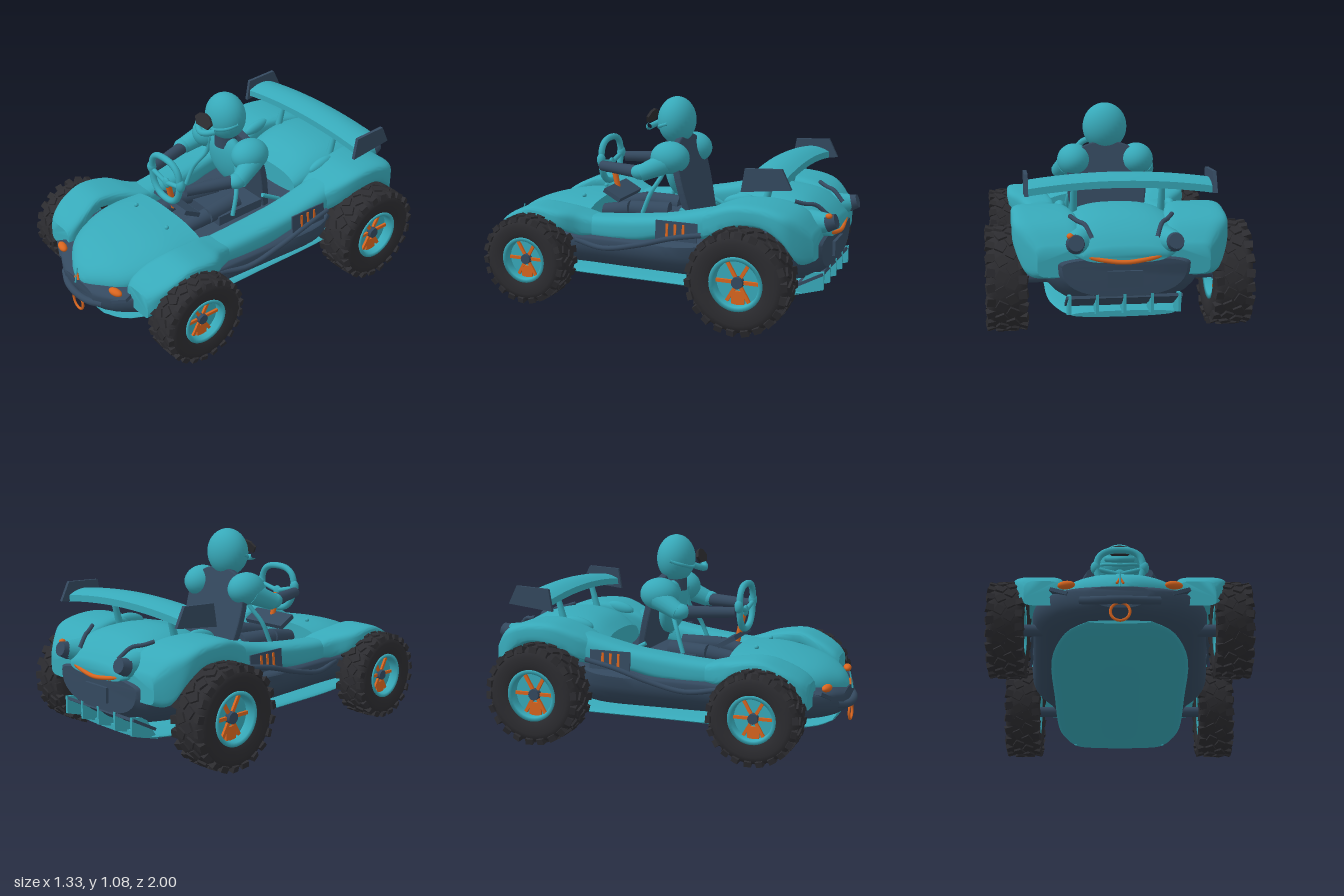
import * as THREE from 'three';
import { mergeGeometries, toCreasedNormals } from 'three/addons/utils/BufferGeometryUtils.js';

const material = (name, color) => Object.assign(new THREE.MeshStandardMaterial({ color }), { name });
const teal = material('teal paint', 0x37a9b9);
const navy = material('navy panel', 0x34495f);
const orange = material('orange accent', 0xd8651f);
const black = material('black rubber', 0x2c2c30);
const V = (x, y, z) => new THREE.Vector3(x, y, z);
const SIDES = [['left', 1], ['right', -1]];

export function createModel() {
  const car = new THREE.Group();
  car.name = 'buggy';

  const add = (name, geometry, mat, pos = [0, 0, 0], rot = [0, 0, 0], parent = car) => {
    const m = new THREE.Mesh(geometry, mat);
    m.name = name;
    m.position.set(...pos);
    m.rotation.set(...rot);
    parent.add(m);
    return m;
  };
  const tube = (name, mat, r, ...pts) => add(name,
    new THREE.TubeGeometry(new THREE.CatmullRomCurve3(pts.map((p) => V(...p))), 24, r, 10), mat);
  const ball = (name, mat, pos, [rx, ry, rz], rot) =>
    add(name, new THREE.SphereGeometry(1, 28, 18), mat, pos, rot).scale.set(rx, ry, rz);
  const slab = (pts, depth) => new THREE.ExtrudeGeometry(
    new THREE.Shape(pts.map((p) => new THREE.Vector2(...p))), { depth, bevelEnabled: false });
  // tapered limb between two points
  const limb = (name, mat, a, b, r0, r1) => {
    const p = V(...a), q = V(...b), d = q.clone().sub(p);
    const m = add(name, new THREE.CylinderGeometry(r1, r0, d.length(), 16), mat, p.clone().add(q).multiplyScalar(0.5).toArray());
    m.quaternion.setFromUnitVectors(V(0, 1, 0), d.normalize());
  };

  // Body shell lofted along z; each row is [z, x0, x1, yLow, yMid, yTop]
  const shell = (name, mat, rows, e = 0.7, s = 1) => {
    const N = 36, SUB = 4, rings = [];
    const cr = (a, b, c, d, t) => b + 0.5 * t * (c - a + t * (2 * a - 5 * b + 4 * c - d + t * (3 * (b - c) + d - a)));
    const row = (i) => rows[Math.max(0, Math.min(rows.length - 1, i))];
    for (let i = 0; i < rows.length - 1; i++)
      for (let k = 0; k < SUB; k++)
        rings.push(row(i).map((v, c) => cr(row(i - 1)[c], v, row(i + 1)[c], row(i + 2)[c], k / SUB)));
    rings.push(row(rows.length - 1));
    const pos = [], idx = [];
    const pw = (v) => Math.sign(v) * Math.abs(v) ** e;
    for (const [z, x0, x1, lo, mid, hi] of rings)
      for (let j = 0; j < N; j++) {
        const a = (j / N) * Math.PI * 2, sy = pw(Math.sin(a));
        pos.push(s * ((x0 + x1) / 2 + ((x1 - x0) / 2) * pw(Math.cos(a))), mid + sy * (sy > 0 ? hi - mid : mid - lo), z);
      }
    const tri = (a, b, c) => (s > 0 ? idx.push(a, b, c) : idx.push(a, c, b));
    const last = rings.length - 1;
    for (let i = 0; i < last; i++)
      for (let j = 0; j < N; j++) {
        const a = i * N + j, b = i * N + ((j + 1) % N);
        tri(a, a + N, b);
        tri(b, a + N, b + N);
      }
    for (let j = 1; j < N - 1; j++) {
      tri(0, j, j + 1);
      tri(last * N, last * N + j + 1, last * N + j);
    }
    const g = new THREE.BufferGeometry();
    g.setAttribute('position', new THREE.Float32BufferAttribute(pos, 3));
    g.setIndex(idx);
    add(name, toCreasedNormals(g, 0.7), mat);
  };
  const sym = (rows) => rows.map(([z, w, ...y]) => [z, -w, w, ...y]);

  // Hull, bonnet, engine cover and undertray (front to back)
  shell('lowerHull', navy, sym([
    [0.955, 0.14, 0.2, 0.28, 0.31], [0.88, 0.29, 0.165, 0.31, 0.34], [0.7, 0.415, 0.145, 0.32, 0.37],
    [0.36, 0.45, 0.145, 0.35, 0.39], [0, 0.475, 0.145, 0.36, 0.4], [-0.3, 0.495, 0.145, 0.38, 0.41],
    [-0.45, 0.44, 0.145, 0.42, 0.45], [-0.7, 0.42, 0.16, 0.46, 0.49], [-0.86, 0.38, 0.19, 0.43, 0.47], [-0.94, 0.3, 0.25, 0.4, 0.44]]), 0.8);
  shell('bonnet', teal, sym([
    [0.95, 0.04, 0.29, 0.31, 0.335], [0.915, 0.12, 0.3, 0.32, 0.385], [0.83, 0.24, 0.31, 0.34, 0.44],
    [0.7, 0.31, 0.34, 0.37, 0.48], [0.55, 0.335, 0.36, 0.4, 0.505], [0.37, 0.33, 0.37, 0.41, 0.51]]), 0.85);
  shell('engineCover', teal, sym([
    [-0.35, 0.22, 0.42, 0.46, 0.54], [-0.45, 0.25, 0.44, 0.5, 0.61], [-0.6, 0.27, 0.46, 0.52, 0.64],
    [-0.78, 0.29, 0.46, 0.51, 0.62], [-0.89, 0.28, 0.43, 0.48, 0.56], [-0.955, 0.2, 0.42, 0.45, 0.49]]), 0.8);
  shell('undertray', teal, sym([
    [0.9, 0.15, 0.145, 0.155, 0.16], [0.8, 0.26, 0.12, 0.14, 0.155], [0.5, 0.34, 0.105, 0.13, 0.155], [0, 0.35, 0.105, 0.13, 0.155],
    [-0.5, 0.35, 0.105, 0.13, 0.155], [-0.75, 0.3, 0.11, 0.135, 0.155], [-0.87, 0.25, 0.13, 0.145, 0.16]]), 0.9);

  // Paired bodywork
  for (const [side, s] of SIDES) {
    shell(side + 'FrontFender', teal, [
      [0.835, 0.28, 0.46, 0.27, 0.31, 0.4], [0.8, 0.27, 0.49, 0.3, 0.36, 0.435], [0.72, 0.28, 0.52, 0.38, 0.43, 0.48],
      [0.6, 0.31, 0.53, 0.44, 0.48, 0.52], [0.45, 0.29, 0.525, 0.4, 0.45, 0.505],
      [0.36, 0.26, 0.46, 0.36, 0.41, 0.48], [0.29, 0.26, 0.43, 0.36, 0.4, 0.46]], 0.48, s);
    shell(side + 'SidePod', teal, [
      [0.38, 0.255, 0.42, 0.35, 0.4, 0.46], [0.2, 0.26, 0.44, 0.35, 0.4, 0.475], [0.02, 0.27, 0.455, 0.36, 0.42, 0.495],
      [-0.15, 0.28, 0.465, 0.4, 0.45, 0.52], [-0.42, 0.28, 0.475, 0.42, 0.48, 0.585]], 0.6, s);
    shell(side + 'RearFender', teal, [
      [-0.34, 0.28, 0.46, 0.42, 0.47, 0.55], [-0.42, 0.26, 0.5, 0.45, 0.51, 0.59], [-0.54, 0.25, 0.53, 0.51, 0.56, 0.63],
      [-0.68, 0.22, 0.53, 0.52, 0.56, 0.63], [-0.79, 0.2, 0.525, 0.45, 0.52, 0.605], [-0.86, 0.2, 0.48, 0.34, 0.45, 0.565],
      [-0.925, 0.2, 0.415, 0.35, 0.42, 0.49]], 0.4, s);
    ball(side + 'FenderRidge', teal, [s * 0.28, 0.6, -0.49], [0.03, 0.035, 0.085], [0.2, 0, 0]);
    tube(side + 'SidePipe', navy, 0.014, [s * 0.44, 0.34, 0.38], [s * 0.475, 0.32, 0.2], [s * 0.485, 0.36, 0], [s * 0.49, 0.42, -0.2], [s * 0.48, 0.45, -0.36]);
    add(side + 'SidePanel', new THREE.BoxGeometry(0.008, 0.1, 0.23), navy, [s * 0.477, 0.455, -0.22], [0, 0, s * 0.1]);
    for (const z of [-0.17, -0.215, -0.26])
      add(side + 'PanelStripe', new THREE.BoxGeometry(0.006, 0.07, 0.013), orange, [s * 0.483, 0.458, z], [0, 0, s * 0.1]);

    // Lamps, winglets, bonnet pins and tail pipes
    ball(side + 'Headlamp', orange, [s * 0.255, 0.35, 0.89], [0.043, 0.02, 0.022], [0, s * 0.2, 0]);
    add(side + 'NoseWinglet', new THREE.BoxGeometry(0.1, 0.018, 0.06), navy, [s * 0.28, 0.315, 0.87], [0, s * 0.4, s * 0.42]);
    ball(side + 'BonnetPin', teal, [s * 0.14, 0.51, 0.48], [0.012, 0.012, 0.012]);
    limb(side + 'TailPipe', teal, [s * 0.21, 0.5, -0.86], [s * 0.235, 0.52, -0.955], 0.072, 0.045);
    limb(side + 'TailPipeTip', navy, [s * 0.235, 0.515, -0.945], [s * 0.236, 0.53, -0.993], 0.047, 0.037);
    tube(side + 'TailPipeCollar', navy, 0.011, [s * 0.155, 0.535, -0.93], [s * 0.185, 0.59, -0.87], [s * 0.22, 0.6, -0.82], [s * 0.25, 0.615, -0.775]);

    // Wing supports and end plates
    limb(side + 'WingSupport', teal, [s * 0.22, 0.6, -0.615], [s * 0.22, 0.78, -0.665], 0.02, 0.014);
    add(side + 'WingEndPlate', slab([[0.58, 0.81], [0.77, 0.82], [0.82, 0.72], [0.56, 0.69]], 0.018),
      navy, [s * 0.458 - 0.009, 0, 0], [0, Math.PI / 2, 0]);
  }
  ball('tailMarker', orange, [0.262, 0.558, -0.96], [0.016, 0.014, 0.018]);

  // Rear wing blade, bowed along its span and cambered along its chord
  const blade = new THREE.BoxGeometry(0.91, 0.035, 0.19, 16, 1, 8);
  const bp = blade.attributes.position;
  for (let i = 0; i < bp.count; i++)
    bp.setY(i, bp.getY(i) - 0.16 * bp.getX(i) ** 2 - 3 * bp.getZ(i) ** 2);
  blade.computeVertexNormals();
  add('rearWing', blade, teal, [0, 0.79, -0.675]);

  // Nose details
  tube('frontBumper', navy, 0.02, [-0.185, 0.25, 0.925], [-0.1, 0.235, 0.96], [0, 0.232, 0.972], [0.1, 0.235, 0.96], [0.185, 0.25, 0.925]);
  add('towRing', new THREE.TorusGeometry(0.045, 0.007, 8, 32), orange, [0, 0.175, 0.965]);
  for (const s of [1, -1]) limb('noseOrnament', orange, [s * 0.016, 0.322, 0.963], [0, 0.352, 0.957], 0.006, 0.006);
  limb('noseRod', teal, [0, 0.3, 0.972], [0, 0.385, 0.955], 0.005, 0.004);

  // Tail details and diffuser
  tube('tailStrip', orange, 0.011, [-0.2, 0.455, -0.94], [-0.1, 0.435, -0.955], [0, 0.425, -0.962], [0.1, 0.435, -0.955], [0.2, 0.455, -0.94]);
  add('rearPlate', new THREE.BoxGeometry(0.17, 0.08, 0.02), navy, [0, 0.34, -0.945]);
  add('diffuserRoof', new THREE.BoxGeometry(0.56, 0.015, 0.16), navy, [0, 0.215, -0.87], [0.5, 0, 0]);
  for (let i = 0; i < 5; i++)
    add('diffuserFin', slab([[0.78, 0.12], [0.945, 0.17], [0.945, 0.265], [0.86, 0.25]], 0.014), teal, [-0.271 + i * 0.132, 0, 0], [0, Math.PI / 2, 0]);

  // Cockpit: forward-leaning seat shell, dash, steering
  const back = new THREE.Shape();
  back.moveTo(-0.16, 0);
  back.lineTo(0.16, 0);
  back.bezierCurveTo(0.24, 0.32, 0.24, 0.49, 0, 0.5);
  back.bezierCurveTo(-0.24, 0.49, -0.24, 0.32, -0.16, 0);
  add('seatBack', new THREE.ExtrudeGeometry(back, { depth: 0.025, bevelSize: 0.008, bevelThickness: 0.008, bevelSegments: 2, curveSegments: 16 }),
    navy, [0, 0.385, -0.2], [0.24, 0, 0]);
  add('seatBase', new THREE.BoxGeometry(0.34, 0.06, 0.3), navy, [0, 0.42, 0]);
  add('dash', new THREE.BoxGeometry(0.28, 0.025, 0.11), navy, [0, 0.525, 0.31], [-0.5, 0, 0]);
  limb('steeringColumn', orange, [0, 0.51, 0.33], [0, 0.67, 0.365], 0.016, 0.016);
  const ring = [];
  for (let i = 0; i < 16; i++) {
    const a = (i / 16) * Math.PI * 2, q = (v) => Math.sign(v) * Math.abs(v) ** 0.8;
    ring.push(V(0.122 * q(Math.cos(a)) * (1 + 0.12 * Math.sin(a)), 0.122 * q(Math.sin(a)), 0));
  }
  add('steeringWheel', new THREE.TubeGeometry(new THREE.CatmullRomCurve3(ring, true), 48, 0.018, 10, true), teal, [0, 0.705, 0.378]);
  for (const x of [-0.12, 0.12]) limb('steeringSpoke', teal, [0, 0.68, 0.375], [x, 0.71, 0.378], 0.014, 0.012);
  ball('steeringHub', teal, [0, 0.68, 0.375], [0.03, 0.03, 0.015]);

  // Driver
  ball('helmet', teal, [0, 0.95, -0.028], [0.121, 0.13, 0.104]);
  add('visor', slab([[-0.07, 0], [-0.045, -0.035], [0.045, -0.035], [0.07, 0], [0.04, 0.03], [0, 0.04], [-0.04, 0.03]], 0.014), black, [0, 0.965, 0.112], [-0.35, 0, 0]);
  tube('chinGuard', teal, 0.017, [-0.075, 0.925, 0.1], [-0.04, 0.91, 0.125], [0, 0.902, 0.137], [0.04, 0.91, 0.125], [0.075, 0.925, 0.1]);
  tube('helmetBand', teal, 0.01, [-0.117, 0.945, -0.02], [-0.09, 0.925, 0.035], [0, 0.905, 0.068], [0.09, 0.925, 0.035], [0.117, 0.945, -0.02]);
  ball('torso', teal, [0, 0.69, -0.045], [0.15, 0.16, 0.062], [0.15, 0, 0]);
  limb('neck', navy, [0, 0.78, -0.04], [0, 0.87, -0.03], 0.07, 0.06);
  for (const [side, s] of SIDES) {
    ball(side + 'Shoulder', teal, [s * 0.172, 0.772, -0.058], [0.092, 0.088, 0.108]);
    limb(side + 'UpperArm', teal, [s * 0.205, 0.75, -0.05], [s * 0.245, 0.69, 0.08], 0.06, 0.045);
    ball(side + 'Elbow', teal, [s * 0.24, 0.695, 0.085], [0.046, 0.042, 0.055]);
    limb(side + 'Forearm', navy, [s * 0.23, 0.692, 0.1], [s * 0.15, 0.692, 0.36], 0.035, 0.028);
    ball(side + 'Glove', teal, [s * 0.13, 0.72, 0.376], [0.026, 0.036, 0.024]);
    limb(side + 'Thigh', navy, [s * 0.09, 0.45, -0.02], [s * 0.12, 0.455, 0.2], 0.055, 0.045);
    limb(side + 'Shin', navy, [s * 0.12, 0.455, 0.2], [s * 0.1, 0.42, 0.42], 0.045, 0.035);
    tube(side + 'HarnessTube', teal, 0.012, [s * 0.21, 0.46, 0.09], [s * 0.19, 0.57, 0.05], [s * 0.13, 0.68, 0], [s * 0.1, 0.78, 0]);
    limb(side + 'SeatStay', teal, [s * 0.2, 0.5, -0.13], [s * 0.215, 0.44, -0.24], 0.012, 0.012);
  }

  // Wheels: axis built along y, then turned to x
  const wheel = (name, x, y, z, R, width) => {
    const g = new THREE.Group(), w = width / 2, r = R * 0.5;
    g.name = name;
    g.position.set(x, y, z);
    g.rotation.z = x > 0 ? -Math.PI / 2 : Math.PI / 2;
    car.add(g);
    const lathe = (pts) => new THREE.LatheGeometry(pts.map((p) => new THREE.Vector2(...p)), 44);
    add('tyre', lathe([[r, -w * 0.8], [R * 0.6, -w * 0.93], [R * 0.78, -w * 0.96], [R * 0.9, -w * 0.86], [R * 0.955, -w * 0.6],
      [R * 0.965, 0], [R * 0.955, w * 0.6], [R * 0.9, w * 0.86], [R * 0.78, w * 0.96], [R * 0.6, w * 0.93], [r, w * 0.8]]), black, undefined, undefined, g);
    const blocks = [], n = 22;
    for (let i = 0; i < n; i++)
      for (const c of [-1, -0.33, 0.33, 1]) {
        const edge = Math.abs(c) === 1;
        const b = new THREE.BoxGeometry(R * 0.12, w * (edge ? 0.42 : 0.46), R * (edge ? 0.15 : 0.17));
        b.rotateX((i % 2 ? 1 : -1) * (edge ? 0.15 : 0.5));
        if (edge) b.rotateZ(-c * 0.25);
        b.translate(R * (edge ? 0.915 : 0.94), c * w * 0.77, 0);
        b.rotateY(((i + (c > 0 ? 0.5 : 0) + (edge ? 0.25 : 0)) / n) * Math.PI * 2);
        blocks.push(b);
      }
    add('treadBlocks', mergeGeometries(blocks), black, undefined, undefined, g);
    add('rim', lathe([[r * 0.86, w * 0.4], [r * 0.88, -w * 0.82], [r * 1.04, -w * 0.86], [r * 1.04, w * 0.86], [r * 0.88, w * 0.84], [r * 0.86, w * 0.4]]), teal, undefined, undefined, g);
    add('rimDish', new THREE.CylinderGeometry(r * 0.9, r * 0.9, w * 0.7, 32), teal, undefined, undefined, g);
    const spokes = [];
    for (let i = 0; i < 12; i++) {
      const b = new THREE.BoxGeometry(r * 0.7, w * 0.16, r * 0.13);
      b.translate(r * 0.52, (i % 2 ? -1 : 1) * w * 0.4, 0);
      b.rotateY((Math.floor(i / 2) / 6) * Math.PI * 2 + Math.PI / 6);
      spokes.push(b);
    }
    add('spokes', mergeGeometries(spokes), orange, undefined, undefined, g);
    // brake caliper sits at the lowest point of the dish
    add('brakeCaliper', new THREE.BoxGeometry(r * 0.55, w * 0.95, r * 0.5), orange, [(x > 0 ? 1 : -1) * r * 0.62, 0, 0], undefined, g);
    add('hub', new THREE.CylinderGeometry(r * 0.22, r * 0.28, w * 1.3, 16), navy, undefined, undefined, g);
  };
  for (const [side, s] of SIDES) {
    wheel(side + 'FrontWheel', s * 0.548, 0.248, 0.6, 0.239, 0.185);
    wheel(side + 'RearWheel', s * 0.558, 0.268, -0.6, 0.268, 0.205);
    for (const [z, y] of [[0.6, 0.248], [-0.6, 0.268]]) limb(side + 'Axle', navy, [s * 0.3, y, z], [s * 0.5, y, z], 0.03, 0.03);
  }
  return car;
}
